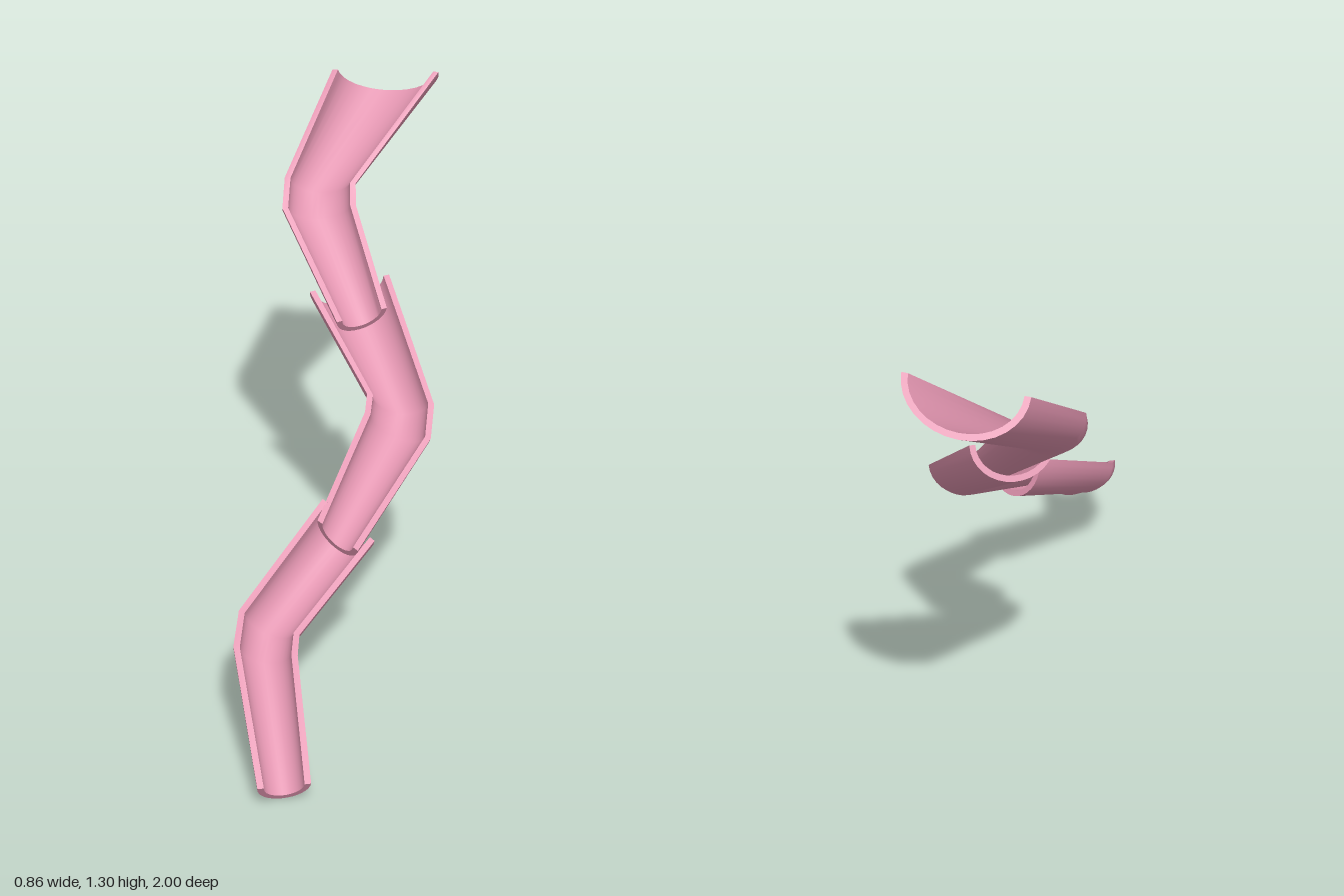
import * as THREE from 'three';
import { toCreasedNormals } from 'three/addons/utils/BufferGeometryUtils.js';

const ARC = 16; // steps across each half-pipe
const WALL = 0.017;

// Each section gives right rim, left rim and bottom of the outer wall, from low end to high end
const gutters = {
  lowerGutter: [
    [[-0.28, 0.06, 1.0], [-0.42, 0.06, 1.0], [-0.35, 0.0, 0.965]],
    [[-0.26, 0.25, 0.68], [-0.426, 0.275, 0.645], [-0.343, 0.19, 0.62]],
    [[-0.245, 0.275, 0.62], [-0.395, 0.32, 0.54], [-0.315, 0.225, 0.54]],
    [[0.0, 0.415, 0.4], [-0.12, 0.487, 0.27], [-0.06, 0.36, 0.29]],
  ],
  middleGutter: [
    [[-0.05, 0.4, 0.42], [-0.145, 0.455, 0.33], [-0.095, 0.367, 0.34]],
    [[0.215, 0.56, 0.11], [0.045, 0.615, 0.02], [0.13, 0.515, 0.02]],
    [[0.243, 0.62, 0.02], [0.06, 0.645, -0.03], [0.15, 0.555, -0.05]],
    [[0.187, 0.858, -0.36], [-0.052, 0.84, -0.322], [0.07, 0.752, -0.385]],
  ],
  upperGutter: [
    [[0.165, 0.79, -0.28], [0.012, 0.775, -0.24], [0.09, 0.722, -0.295]],
    [[0.125, 1.0, -0.55], [-0.09, 1.0, -0.57], [0.02, 0.932, -0.605]],
    [[0.135, 1.045, -0.61], [-0.07, 1.065, -0.645], [0.035, 0.985, -0.685]],
    [[0.425, 1.297, -0.82], [0.13, 1.272, -0.965], [0.313, 1.18, -0.978]],
  ],
};

// Closed cross-section: outer arc from right to left rim, then inner arc back
function sectionLoop([right, left, bottom]) {
  const r = new THREE.Vector3(...right);
  const l = new THREE.Vector3(...left);
  const mid = r.clone().add(l).multiplyScalar(0.5);
  const across = r.clone().sub(mid);
  const down = new THREE.Vector3(...bottom).sub(mid);
  const point = (i, wall) => {
    const t = (Math.PI * i) / ARC;
    return mid.clone()
      .addScaledVector(across, Math.cos(t) * (1 - wall / across.length()))
      .addScaledVector(down, Math.sin(t) * (1 - wall / down.length()));
  };
  const loop = [];
  for (let i = 0; i <= ARC; i++) loop.push(point(i, 0));
  for (let i = ARC; i >= 0; i--) loop.push(point(i, WALL));
  return loop;
}

function gutterGeometry(sections) {
  const loops = sections.map(sectionLoop);
  const n = loops[0].length;
  const positions = loops.flat().flatMap((p) => p.toArray());
  const index = [];
  const quad = (a, b, c, d) => index.push(a, b, c, a, c, d);
  // Walls and rims
  for (let k = 0; k < loops.length - 1; k++) {
    for (let i = 0; i < n; i++) {
      const j = (i + 1) % n;
      quad(k * n + i, k * n + j, (k + 1) * n + j, (k + 1) * n + i);
    }
  }
  // End faces
  const last = (loops.length - 1) * n;
  for (let i = 0; i < ARC; i++) {
    const inner = n - 1 - i;
    quad(i + 1, i, inner, inner - 1);
    quad(last + i, last + i + 1, last + inner - 1, last + inner);
  }
  const geometry = new THREE.BufferGeometry();
  geometry.setAttribute('position', new THREE.Float32BufferAttribute(positions, 3));
  geometry.setIndex(index);
  return toCreasedNormals(geometry, THREE.MathUtils.degToRad(50));
}

export function createModel() {
  const model = new THREE.Group();
  model.name = 'gutterSlide';
  const material = new THREE.MeshStandardMaterial({ color: 0xe295b0 });
  for (const [name, sections] of Object.entries(gutters)) {
    const mesh = new THREE.Mesh(gutterGeometry(sections), material);
    mesh.name = name;
    model.add(mesh);
  }
  return model;
}
